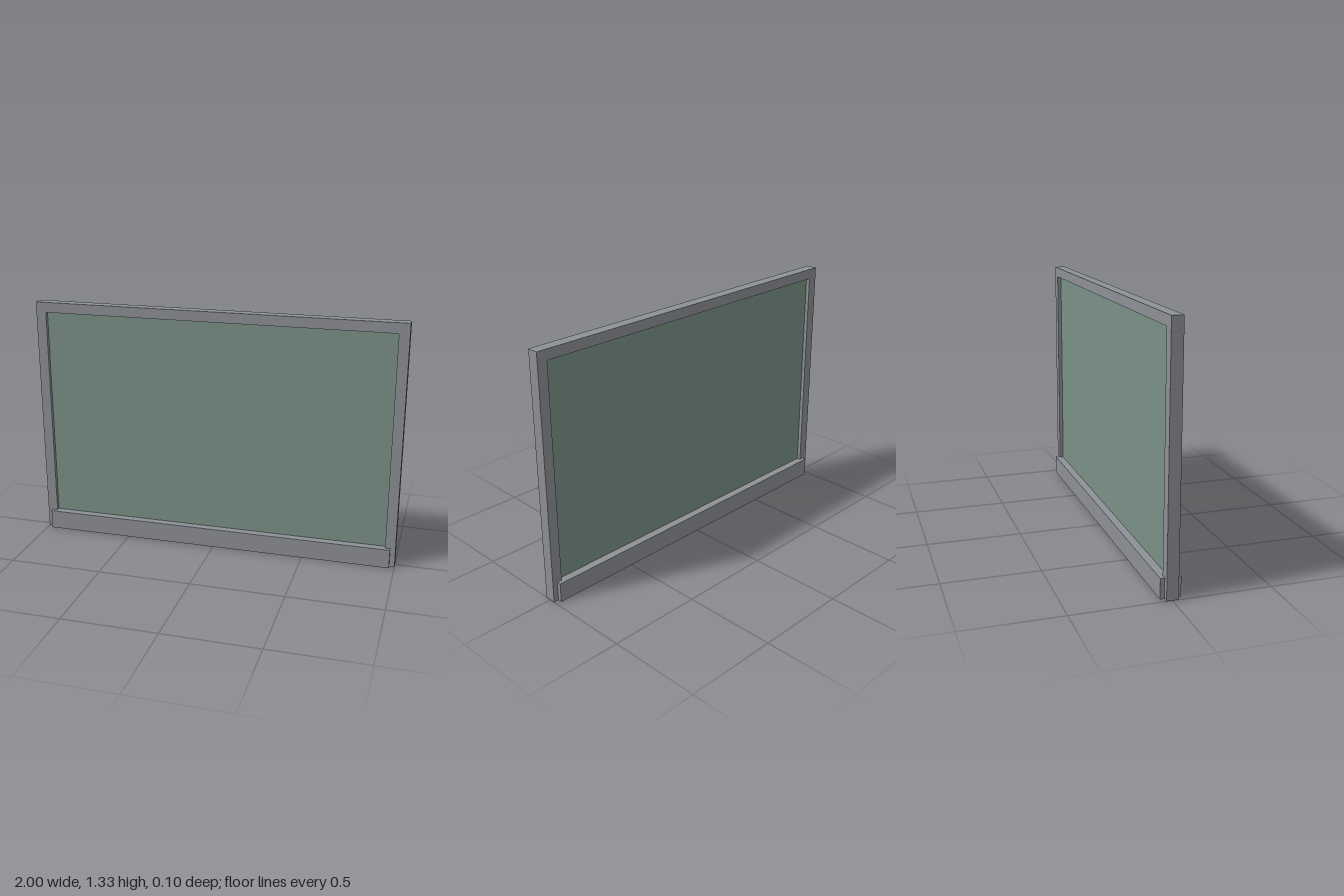
import * as THREE from 'three';

const WIDTH = 2, HEIGHT = 1.325, DEPTH = 0.06, BORDER = 0.055, RAIL_H = 0.105;

export function createModel() {
  const model = new THREE.Group();
  model.name = 'framedWindow';
  const metal = new THREE.MeshStandardMaterial({ color: 0x8d9095 });
  metal.name = 'grey metal';
  const glass = new THREE.MeshStandardMaterial({ color: 0x7a9187 });
  glass.name = 'green glass';

  const add = (name, geometry, material) => {
    const mesh = new THREE.Mesh(geometry, material);
    mesh.name = name;
    model.add(mesh);
    return mesh;
  };
  const rectangle = (target, x, y0, y1) => target
    .moveTo(-x, y0).lineTo(x, y0).lineTo(x, y1).lineTo(-x, y1).closePath();

  // Outer frame with one opening; its lower edge is hidden in the rail
  const outline = rectangle(new THREE.Shape(), WIDTH / 2, 0, HEIGHT);
  outline.holes.push(rectangle(new THREE.Path(), WIDTH / 2 - BORDER, BORDER, HEIGHT - BORDER));
  const frame = new THREE.ExtrudeGeometry(outline, { depth: DEPTH, bevelEnabled: false });
  frame.translate(0, 0, -DEPTH / 2);
  add('frame', frame, metal);

  // Thicker rail along the bottom, proud of both faces
  add('bottomRail', new THREE.BoxGeometry(1.945, RAIL_H, 0.104), metal)
    .position.y = RAIL_H / 2;

  // Pane recessed from both faces
  const paneHeight = HEIGHT - 2 * BORDER;
  add('pane', new THREE.BoxGeometry(WIDTH - 2 * BORDER, paneHeight, 0.018), glass)
    .position.y = BORDER + paneHeight / 2;

  return model;
}
